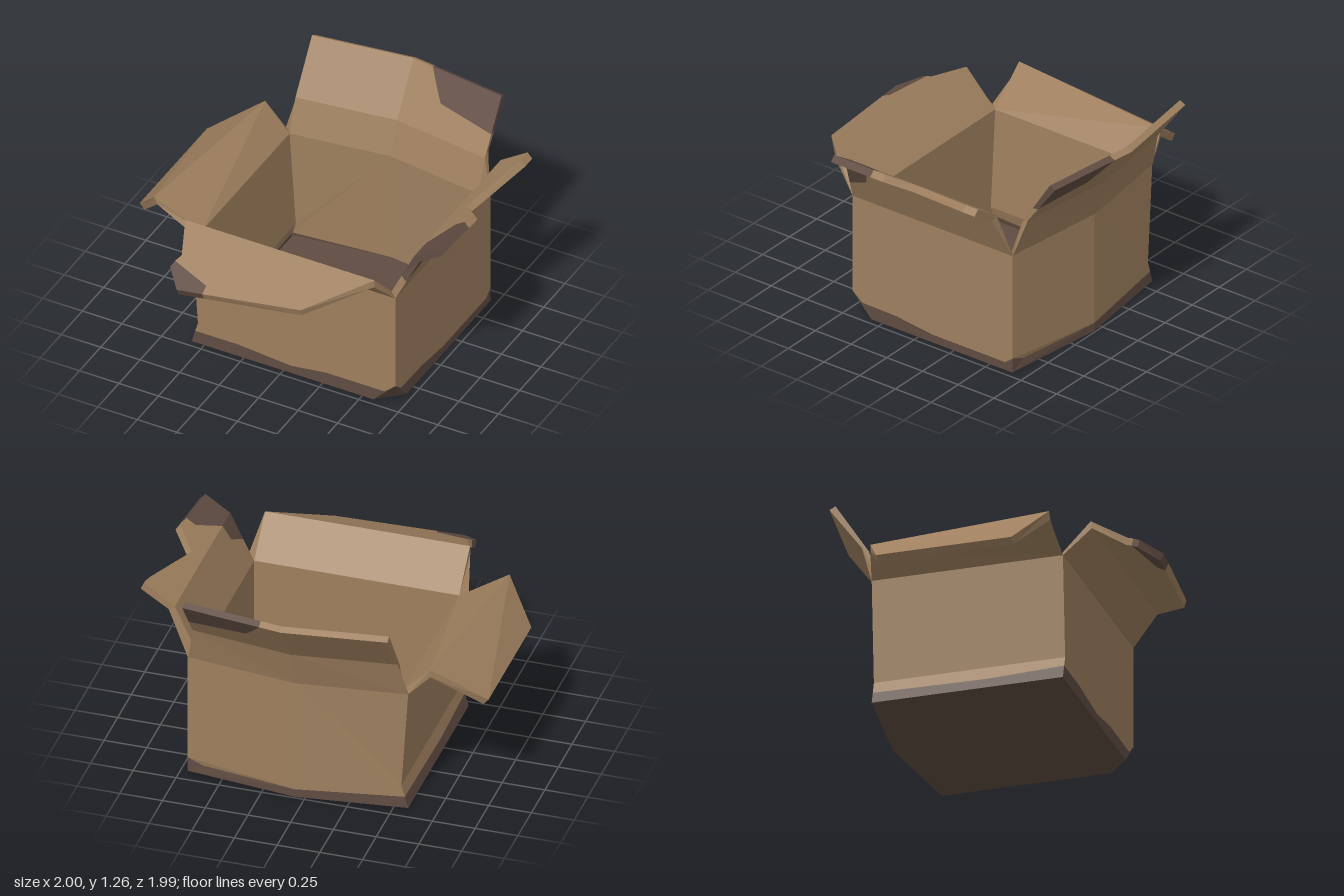
import * as THREE from 'three';

const cardboard = new THREE.MeshStandardMaterial({ name: 'cardboard', color: 0x9e7f5e });
const dampStain = new THREE.MeshStandardMaterial({ name: 'dampStain', color: 0x604c42 });
const CLEAN = 0, STAIN = 1;

const { lerp, clamp } = THREE.MathUtils;
const mix = (p, q, t) => p.map((v, i) => lerp(v, q[i], t));
// bilinear patch over four corners
const quad = (a, b, c, d) => (u, v) => mix(mix(a, b, u), mix(d, c, u), v);
const UNIT = [[0, 0], [1, 0], [1, 1], [0, 1]];

// Sheet of board: flat pieces mapped onto an inner and an outer surface, closed along free edges.
function panel(name, inner, outer, pieces) {
  pieces = pieces.map(([mat, pts]) => {
    const ring = pts.map(p => new THREE.Vector2(...p));
    if (THREE.ShapeUtils.isClockWise(ring)) ring.reverse();
    return { mat, ring };
  });
  const key = (p, q) => `${p.x},${p.y}>${q.x},${q.y}`;
  const edges = new Set();
  pieces.forEach(({ ring }) => ring.forEach((p, i) => edges.add(key(p, ring[(i + 1) % ring.length]))));

  const tris = [[], []];
  for (const { mat, ring } of pieces) {
    const I = ring.map(p => inner(p.x, p.y)), O = ring.map(p => outer(p.x, p.y));
    for (const [a, b, c] of THREE.ShapeUtils.triangulateShape(ring, []))
      tris[mat].push([O[a], O[b], O[c]], [I[a], I[c], I[b]]);
    ring.forEach((p, i) => {
      const j = (i + 1) % ring.length;
      if (edges.has(key(ring[j], p))) return;
      tris[mat].push([O[i], I[i], I[j]], [O[i], I[j], O[j]]);
    });
  }
  // turn every face outwards: a closed sheet must have positive volume
  const vec = p => new THREE.Vector3(...p);
  const volume = tris.flat().reduce((s, [a, b, c]) => s + vec(a).dot(vec(b).cross(vec(c))), 0);
  const geo = new THREE.BufferGeometry();
  const flat = tris.map(l => l.flatMap(([a, b, c]) => (volume < 0 ? [a, c, b] : [a, b, c])).flat());
  geo.setAttribute('position', new THREE.Float32BufferAttribute(flat.flat(), 3));
  geo.addGroup(0, flat[0].length / 3, 0);
  geo.addGroup(flat[0].length / 3, flat[1].length / 3, 1);
  geo.computeVertexNormals();
  const mesh = new THREE.Mesh(geo, [cardboard, dampStain]);
  mesh.name = name;
  return mesh;
}

// flat horizontal face from x, z points
function plate(name, pts, y, up) {
  const shape = new THREE.Shape(pts.map(([x, z]) => new THREE.Vector2(x, up ? -z : z)));
  const geo = new THREE.ShapeGeometry(shape).rotateX(up ? -Math.PI / 2 : Math.PI / 2).translate(0, y, 0);
  const mesh = new THREE.Mesh(geo, dampStain);
  mesh.name = name;
  return mesh;
}

// dented right-hand-side profile of the box and its bowed back
const dentX = y => (y < 0.14 ? lerp(-0.58, -0.54, y / 0.14) : lerp(-0.54, -0.58, (y - 0.14) / 0.61));
const bow = u => 0.08 * (1 - Math.min(1, Math.abs(u)));
const insideX = (x, y) => clamp(x, dentX(y) + 0.04, 0.66);
const insideZ = z => clamp(z, -0.62, 0.41);

export function createModel() {
  const box = new THREE.Group();
  box.name = 'openCardboardBox';

  // Walls, with a damp band along the bottom
  const frontLine = [[0.71, 0.14], [0.64, 0.08], [0.27, 0.08], [0.05, 0.05], [-0.28, 0.08], [dentX(0.08), 0.08]];
  box.add(panel('frontWall',
    (x, y) => [insideX(x, y), y, 0.41],
    (x, y) => [x, y, 0.46],
    [
      [STAIN, [[-0.58, 0], [0.57, 0], ...frontLine]],
      [CLEAN, [...frontLine, [-0.54, 0.14], [-0.58, 0.75], [0.71, 0.75]]],
    ]));

  const sideLine = [[0.46, 0.14], [0.39, 0.085], [0.15, 0.08], [-0.1, 0.05], [-0.61, 0.05], [-0.66, 0.09]];
  box.add(panel('leftWall',
    (z, y) => [0.66, y, insideZ(z)],
    (z, y) => [0.71, y, z],
    [
      [STAIN, [[0.33, 0], ...sideLine, [-0.66, 0]]],
      [CLEAN, [...sideLine, [-0.66, 0.75], [0.46, 0.75]]],
    ]));

  const dentLine = [[0.46, 0.08], [0, 0.06], [-0.66, 0.07]];
  box.add(panel('rightWall',
    (z, y) => [dentX(y) + 0.04, y, insideZ(z)],
    (z, y) => [dentX(y), y, z],
    [
      [STAIN, [[0.46, 0], ...dentLine, [-0.66, 0]]],
      [CLEAN, [...dentLine, [-0.66, 0.14], [0.46, 0.14]]],
      [CLEAN, [[0.46, 0.14], [-0.66, 0.14], [-0.66, 0.75], [0.46, 0.75]]],
    ]));

  const backRight = [[0.06, 0.05], [dentX(0.07), 0.07]];
  const backLeft = [[0.06, 0.05], [0.62, 0.055], [0.71, 0.09]];
  box.add(panel('backWall',
    (x, y) => [insideX(x, y), y, -0.62 - bow((x - 0.06) / 0.6)],
    (x, y) => [x, y, -0.66 - bow((x - 0.06) / 0.6)],
    [
      [STAIN, [[0.06, 0], ...backRight, [-0.58, 0]]],
      [CLEAN, [...backRight, [-0.54, 0.14], [-0.58, 0.75], [0.06, 0.75]]],
      [STAIN, [[0.06, 0], ...backLeft, [0.71, 0]]],
      [CLEAN, [...backLeft, [0.71, 0.75], [0.06, 0.75]]],
    ]));

  // Floor, underside and crushed front corner
  box.add(plate('floor', [[-0.52, 0.41], [0.66, 0.41], [0.66, -0.62], [0.06, -0.7], [-0.52, -0.62]], 0.05, true));
  box.add(plate('underside',
    [[-0.58, 0.46], [0.57, 0.46], [0.71, 0.33], [0.71, -0.66], [0.06, -0.74], [-0.58, -0.66]], 0, false));
  const cut = new THREE.BufferGeometry();
  cut.setAttribute('position', new THREE.Float32BufferAttribute([0.71, 0.14, 0.46, 0.57, 0, 0.46, 0.71, 0, 0.33], 3));
  cut.computeVertexNormals();
  const corner = new THREE.Mesh(cut, dampStain);
  corner.name = 'crushedCorner';
  box.add(corner);

  // Front flap: rises, then droops forward with a torn outline
  box.add(panel('frontFlapBase',
    quad([-0.54, 0.75, 0.41], [0.66, 0.75, 0.41], [0.66, 0.955, 0.61], [-0.54, 0.955, 0.61]),
    quad([-0.58, 0.75, 0.46], [0.71, 0.75, 0.46], [0.66, 0.91, 0.615], [-0.54, 0.91, 0.615]),
    [[CLEAN, UNIT]]));
  const droop = z => 0.955 - 0.487 * (z - 0.61);
  const tornLine = [[-0.48, 0.84], [-0.39, 0.87], [-0.24, 0.92], [-0.24, 0.97]];
  box.add(panel('frontFlapTip',
    (x, z) => [x, droop(z), z],
    (x, z) => [x, droop(z) - 0.043, z + 0.005 - 0.065 * (z - 0.61)],
    [
      [CLEAN, [[-0.54, 0.61], [-0.46, 0.8], ...tornLine, [0.34, 0.89], [0.66, 0.61]]],
      [STAIN, [...tornLine, [-0.39, 0.99], [-0.49, 0.88]]],
    ]));

  // Right flap: skewed fold, hanging outwards
  box.add(panel('rightFlapBase',
    quad([-0.54, 0.75, 0.41], [-0.54, 0.75, -0.62], [-0.7, 0.915, -0.63], [-0.82, 0.915, 0.455]),
    quad([-0.58, 0.75, 0.46], [-0.58, 0.75, -0.66], [-0.7, 0.868, -0.63], [-0.8, 0.87, 0.455]),
    [[CLEAN, UNIT]]));
  box.add(panel('rightFlapTip',
    quad([-0.82, 0.915, 0.455], [-0.7, 0.915, -0.63], [-1, 0.7, -0.5], [-1, 0.7, 0.29]),
    quad([-0.8, 0.87, 0.455], [-0.7, 0.868, -0.63], [-0.97, 0.665, -0.5], [-0.97, 0.665, 0.29]),
    [[CLEAN, UNIT]]));

  // Left flap: raised, with a notch torn from its edge
  const lowStain = [[0, 0.45], [0.12, 0.68], [0.14, 1]];
  box.add(panel('leftFlapBase',
    quad([0.66, 0.75, 0.41], [0.66, 0.75, -0.62], [0.8, 1.04, -0.615], [0.8, 1.04, 0.41]),
    quad([0.71, 0.75, 0.46], [0.71, 0.75, -0.66], [0.835, 1.015, -0.615], [0.835, 1.015, 0.41]),
    [
      [CLEAN, [[0, 0], ...lowStain, [1, 1], [1, 0]]],
      [STAIN, [...lowStain, [0, 1]]],
    ]));
  const highStain = [[0.266, 0], [0.22, 0.2], [0.12, 0.65], [0.12, 0.965]];
  box.add(panel('leftFlapTip',
    (z, t) => [0.8 + 0.17 * t, 1.04 + 0.113 * t, z],
    (z, t) => [0.835 + 0.165 * t, 1.015 + 0.105 * t, z],
    [
      [CLEAN, [...highStain, [0.03, 1], [-0.1, 0.36], [-0.53, 1], [-0.615, 1], [-0.615, 0]]],
      [STAIN, [...highStain, [0.41, 0.85], [0.41, 0]]],
    ]));

  // Back flap: bowed like the wall below, standing tall
  const halves = [[CLEAN, [[-1, 0], [0, 0], [0, 1], [-1, 1]]], [CLEAN, [[0, 0], [1, 0], [1, 1], [0, 1]]]];
  box.add(panel('backFlapBase',
    (u, v) => [0.06 + 0.6 * u, 0.75 + 0.205 * v, -0.62 - 0.07 * v - bow(u)],
    (u, v) => [0.06 + u * (0.645 - 0.045 * v), 0.75 + 0.23 * v, -0.66 - 0.07 * v - bow(u)],
    halves));
  const topStain = [[1, 0.38], [0.4, 0.51], [0.3, 0.77], [0.22, 1]];
  box.add(panel('backFlapTip',
    (u, v) => [0.06 + 0.6 * u, 0.955 + 0.305 * v, -0.69 - 0.195 * v - bow(u)],
    (u, v) => [0.06 + 0.6 * u, 0.98 + 0.26 * v, -0.73 - 0.19 * v - bow(u)],
    [
      halves[0],
      [CLEAN, [[0, 0], [1, 0], ...topStain, [0, 1]]],
      [STAIN, [...topStain, [1, 1]]],
    ]));

  return box;
}
